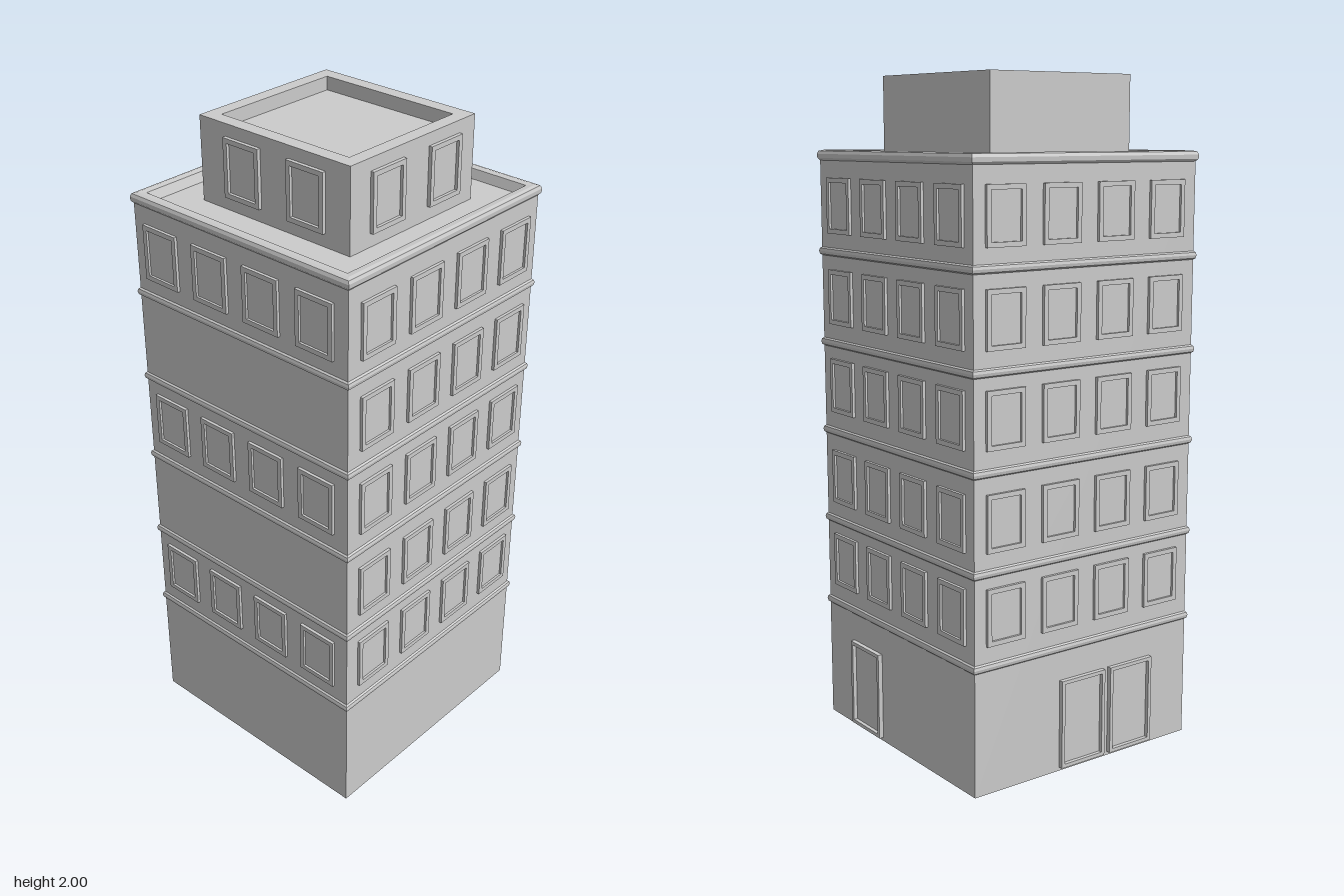
import * as THREE from 'three';

const grey = new THREE.MeshStandardMaterial({ color: 0xcccccc, flatShading: true });

// Sweep a profile of [outward offset, y] around a rectangle; optionally cap both ends.
function rectLoft(profile, hx, hz, capBottom = false, capTop = false) {
  const rings = profile.map(([o, y]) => [[1, 1], [1, -1], [-1, -1], [-1, 1]]
    .map(([sx, sz]) => [sx * (hx + o), y, sz * (hz + o)]));
  const pos = [];
  const quad = (a, b, c, d) => pos.push(...a, ...b, ...c, ...a, ...c, ...d);
  for (let i = 0; i < rings.length - 1; i++) {
    for (let k = 0; k < 4; k++) {
      const n = (k + 1) % 4;
      quad(rings[i][k], rings[i][n], rings[i + 1][n], rings[i + 1][k]);
    }
  }
  if (capTop) quad(...rings[rings.length - 1]);
  if (capBottom) quad(...[...rings[0]].reverse());
  const g = new THREE.BufferGeometry();
  g.setAttribute('position', new THREE.Float32BufferAttribute(pos, 3));
  g.computeVertexNormals();
  return g;
}

// Raised frame around a shallower panel, standing out along +z.
function framedPanel(name, w, h, rim, depth) {
  const group = new THREE.Group();
  group.name = name;
  const rect = (shape, a, b) => shape.moveTo(-a, -b).lineTo(a, -b).lineTo(a, b).lineTo(-a, b).closePath();
  const shape = rect(new THREE.Shape(), w / 2, h / 2);
  shape.holes.push(rect(new THREE.Path(), w / 2 - rim, h / 2 - rim));
  const frame = new THREE.Mesh(new THREE.ExtrudeGeometry(shape, { depth, bevelEnabled: false }), grey);
  frame.name = name + 'Frame';
  const panel = new THREE.Mesh(new THREE.BoxGeometry(w - 2 * rim, h - 2 * rim, 0.004), grey);
  panel.name = name + 'Panel';
  group.add(frame, panel);
  return group;
}

export function createModel() {
  const model = new THREE.Group();
  model.name = 'towerBlock';
  const cx = -0.004, cz = 0.004, hx = 0.396, hz = 0.396;

  const add = (name, geometry, x, z) => {
    const mesh = new THREE.Mesh(geometry, grey);
    mesh.name = name;
    mesh.position.set(x, 0, z);
    model.add(mesh);
  };

  // Place a panel on a wall: t runs along x (front, back) or z (sides).
  const turns = { front: 0, right: Math.PI / 2, back: Math.PI, left: -Math.PI / 2 };
  const place = (panel, side, t, y, plane) => {
    if (side === 'front' || side === 'back') panel.position.set(t, y, plane);
    else panel.position.set(plane, y, t);
    panel.rotation.y = turns[side];
    model.add(panel);
  };

  // Main walls and the sunken roof inside a moulded parapet
  add('walls', rectLoft([[0, 0], [0, 1.755]], hx, hz, true, false), cx, cz);
  add('parapetAndRoof', rectLoft([
    [0, 1.753], [0.006, 1.76], [0.007, 1.772], [0.003, 1.781], [-0.008, 1.784],
    [-0.026, 1.782], [-0.036, 1.755],
  ], hx, hz, false, true), cx, cz);

  // Rounded ledges between storeys
  for (const y of [0.378, 0.648, 0.93, 1.205, 1.482]) {
    add('ledge', rectLoft([
      [0, y - 0.013], [0.005, y - 0.009], [0.007, y], [0.005, y + 0.008], [0, y + 0.012],
    ], hx, hz), cx, cz);
  }

  // Windows: four per storey; the left-hand wall at -x has them on alternate storeys
  const walls = { front: cz + hz, back: cz - hz, right: cx + hx, left: cx - hx };
  [0.521, 0.788, 1.074, 1.346, 1.62].forEach((y, floor) => {
    for (const side of Object.keys(walls)) {
      if (side === 'left' && floor % 2) continue;
      for (const t of [-0.288, -0.096, 0.096, 0.288]) {
        place(framedPanel('window', 0.129, 0.165, 0.014, 0.009), side, t, y, walls[side]);
      }
    }
  });

  // Doors: one on the +x wall, a pair at the back
  const door = () => framedPanel('door', 0.162, 0.268, 0.011, 0.014);
  place(door(), 'right', 0.174, 0.145, walls.right);
  for (const x of [-0.173, 0.01]) place(door(), 'back', x, 0.145, walls.back);

  // Rooftop house with a recessed top
  const px = -0.01, pz = 0.01, phx = 0.25, phz = 0.27;
  add('rooftopHouse', rectLoft([
    [0, 1.75], [0, 2], [-0.042, 2], [-0.042, 1.96],
  ], phx, phz, false, true), px, pz);
  const topWindow = () => framedPanel('rooftopWindow', 0.129, 0.17, 0.014, 0.011);
  for (const x of [-0.119, 0.112]) place(topWindow(), 'front', x, 1.879, pz + phz);
  for (const z of [-0.099, 0.131]) place(topWindow(), 'left', z, 1.879, px - phx);

  return model;
}
